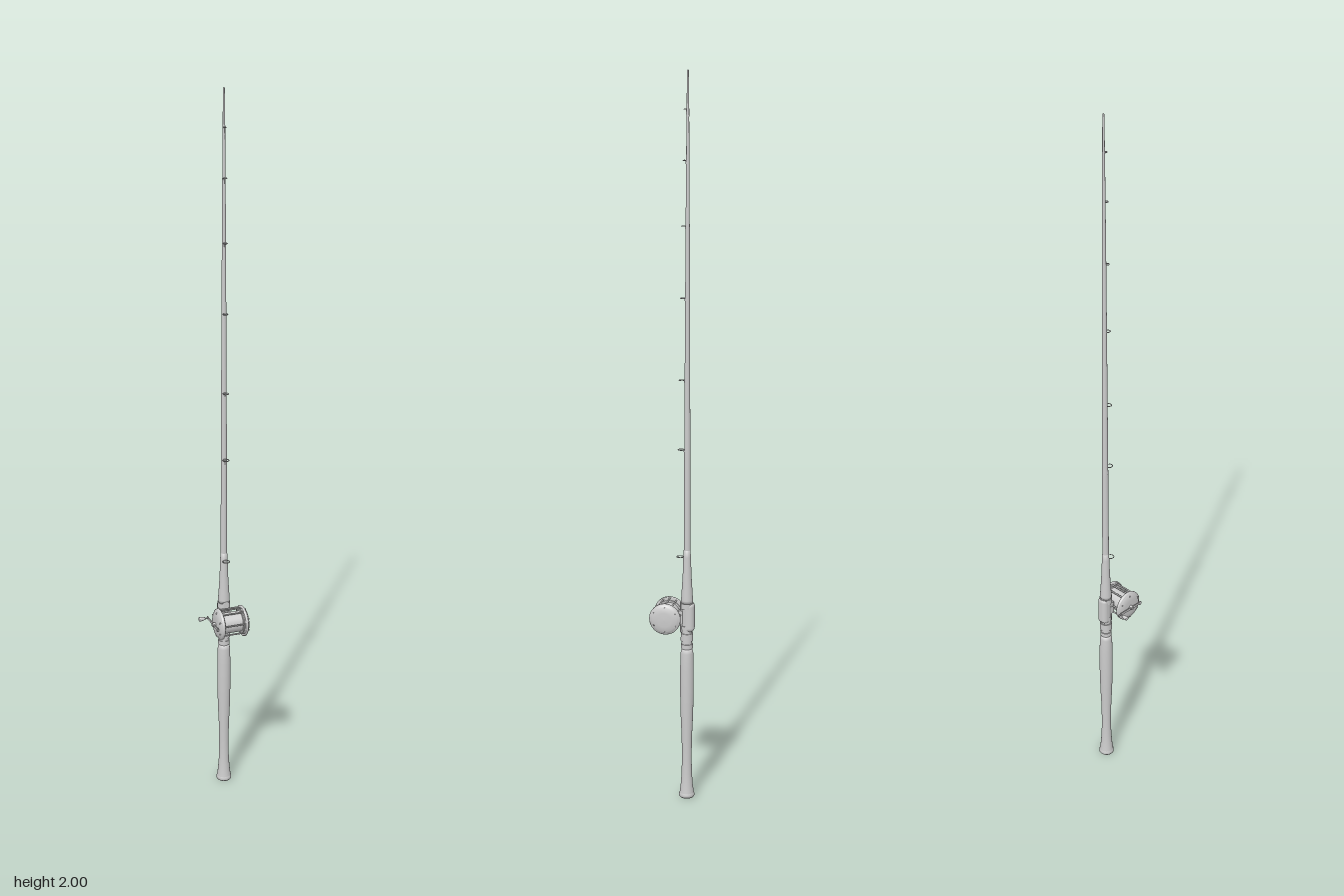
import * as THREE from 'three';
import { RoundedBoxGeometry } from 'three/addons/geometries/RoundedBoxGeometry.js';

const mat = new THREE.MeshStandardMaterial({ color: 0xcccccc, side: THREE.DoubleSide });
const ROD = { x: 0.014, z: -0.039 };
const REEL = { x: 0.0145, y: 0.53, z: 0.016 };

function add(parent, name, geo, x = 0, y = 0, z = 0) {
  const m = new THREE.Mesh(geo, mat);
  m.name = name;
  m.position.set(x, y, z);
  parent.add(m);
  return m;
}

// turned part; points are [radius, height], repeated points keep an edge crisp
function turned(points, seg = 28) {
  return new THREE.LatheGeometry(points.map(([r, y]) => new THREE.Vector2(r, y)), seg);
}

// cylinder lying along x
function barX(r, len, seg = 12, r2 = r) {
  return new THREE.CylinderGeometry(r, r2, len, seg).rotateZ(Math.PI / 2);
}

function buildRod() {
  const g = new THREE.Group();
  g.name = 'rod';
  g.position.set(ROD.x, 0, ROD.z);

  add(g, 'buttCap', turned([[0, 0], [0.019, 0], [0.0215, 0.003], [0.0215, 0.009], [0.02, 0.013]]));
  add(g, 'rearGrip', turned([[0.02, 0.012], [0.017, 0.035], [0.0145, 0.07], [0.0135, 0.12], [0.0145, 0.18],
    [0.0172, 0.24], [0.0188, 0.31], [0.0188, 0.38], [0.0175, 0.425], [0.015, 0.438], [0, 0.438]]));
  add(g, 'reelSeat', turned([[0.0145, 0.435], [0.0145, 0.575]]));
  for (const [y, h, r] of [[0.446, 0.012, 0.0165], [0.472, 0.022, 0.0172], [0.5, 0.01, 0.0165], [0.562, 0.016, 0.018]])
    add(g, 'seatRing', new THREE.CylinderGeometry(r, r, h, 28), 0, y, 0);
  // seat body that backs the reel foot
  add(g, 'seatBack', new RoundedBoxGeometry(0.032, 0.085, 0.03, 3, 0.012), 0, 0.53, -0.006);
  add(g, 'foregrip', turned([[0, 0.57], [0.0165, 0.57], [0.0165, 0.578], [0.015, 0.6], [0.012, 0.65],
    [0.0105, 0.7], [0.0092, 0.72], [0, 0.722]]));
  add(g, 'blank', turned([[0.0092, 0.715], [0.0085, 0.95], [0.0072, 1.25], [0.0055, 1.6], [0.0038, 1.85],
    [0.0025, 1.998], [0, 2]], 18));

  // line guides get smaller towards the tip
  [0.7, 1.0, 1.19, 1.41, 1.6, 1.77, 1.9].forEach((y, i) => {
    const R = 0.0095 - i * 0.001;
    const blankR = 0.0098 - (y - 0.7) * 0.0052;
    const guide = new THREE.Group();
    guide.name = 'lineGuide';
    guide.position.y = y;
    g.add(guide);
    const c = blankR + R;
    add(guide, 'guideRing', new THREE.TorusGeometry(R, 0.0012, 6, 18).rotateX(Math.PI / 2), 0, 0, c);
    const foot = new THREE.LineCurve3(new THREE.Vector3(0, -0.018, blankR - 0.001), new THREE.Vector3(0, 0, blankR + 0.001));
    add(guide, 'guideFoot', new THREE.TubeGeometry(foot, 1, 0.0012, 6));
    add(guide, 'guideWrap', new THREE.CylinderGeometry(blankR, blankR + 0.0003, 0.022, 18), 0, -0.008, 0);
  });
  return g;
}

function buildReel() {
  const g = new THREE.Group();
  g.name = 'reel';
  g.position.set(REEL.x, REEL.y, REEL.z);

  // domed side plates with rims and screws
  for (const s of [-1, 1]) {
    const plate = turned([[0, 0], [0.041, 0], [0.0435, 0.0015], [0.0435, 0.007], [0.041, 0.009],
      [0.038, 0.0095], [0.034, 0.0135], [0.02, 0.0155], [0, 0.016]], 40).rotateZ(-s * Math.PI / 2);
    add(g, 'sidePlate', plate, s * 0.0295, 0, 0);
    for (let i = 0; i < 6; i++) {
      const a = (i + 0.5) * Math.PI / 3;
      add(g, 'plateScrew', barX(0.0022, 0.003, 8), s * 0.0425, Math.sin(a) * 0.034, Math.cos(a) * 0.034);
    }
  }

  // spool with flanges and wound line
  add(g, 'spool', barX(0.029, 0.06, 36));
  for (const s of [-1, 1]) add(g, 'spoolFlange', barX(0.034, 0.003, 36), s * 0.028, 0, 0);

  // pillars joining the plates
  for (const deg of [10, 62, 90, 118, 170, 205, 270, 325]) {
    const a = THREE.MathUtils.degToRad(deg);
    add(g, 'pillar', barX(0.0023, 0.062, 8), 0, Math.sin(a) * 0.039, Math.cos(a) * 0.039);
  }

  // foot and stem clamped to the rod
  add(g, 'footStem', new THREE.BoxGeometry(0.022, 0.036, 0.012), 0, 0, -0.0385);
  add(g, 'foot', new RoundedBoxGeometry(0.018, 0.09, 0.006, 2, 0.0025), 0, 0, -0.04);
  return g;
}

function buildCrank() {
  const g = new THREE.Group();
  g.name = 'crank';
  g.position.set(-0.036, REEL.y, REEL.z - 0.001);
  add(g, 'crankHub', barX(0.006, 0.01, 16), 0.002, 0, 0);
  add(g, 'crankNut', barX(0.004, 0.004, 6), -0.003, 0, 0);
  add(g, 'crankArm', new RoundedBoxGeometry(0.003, 0.008, 0.092, 2, 0.0014), 0, 0, -0.008);
  add(g, 'counterweight', barX(0.0055, 0.004, 16), 0, 0, 0.033);
  add(g, 'knobPin', barX(0.002, 0.014, 8), -0.006, 0, -0.046);
  const knob = turned([[0, 0], [0.0038, 0], [0.0046, 0.004], [0.0062, 0.013], [0.0062, 0.016], [0.005, 0.0175], [0, 0.0175]], 18);
  add(g, 'knob', knob.rotateZ(Math.PI / 2), -0.0095, 0, -0.046);
  return g;
}

export function createModel() {
  const model = new THREE.Group();
  model.name = 'fishingRod';
  model.add(buildRod(), buildReel(), buildCrank());
  return model;
}
